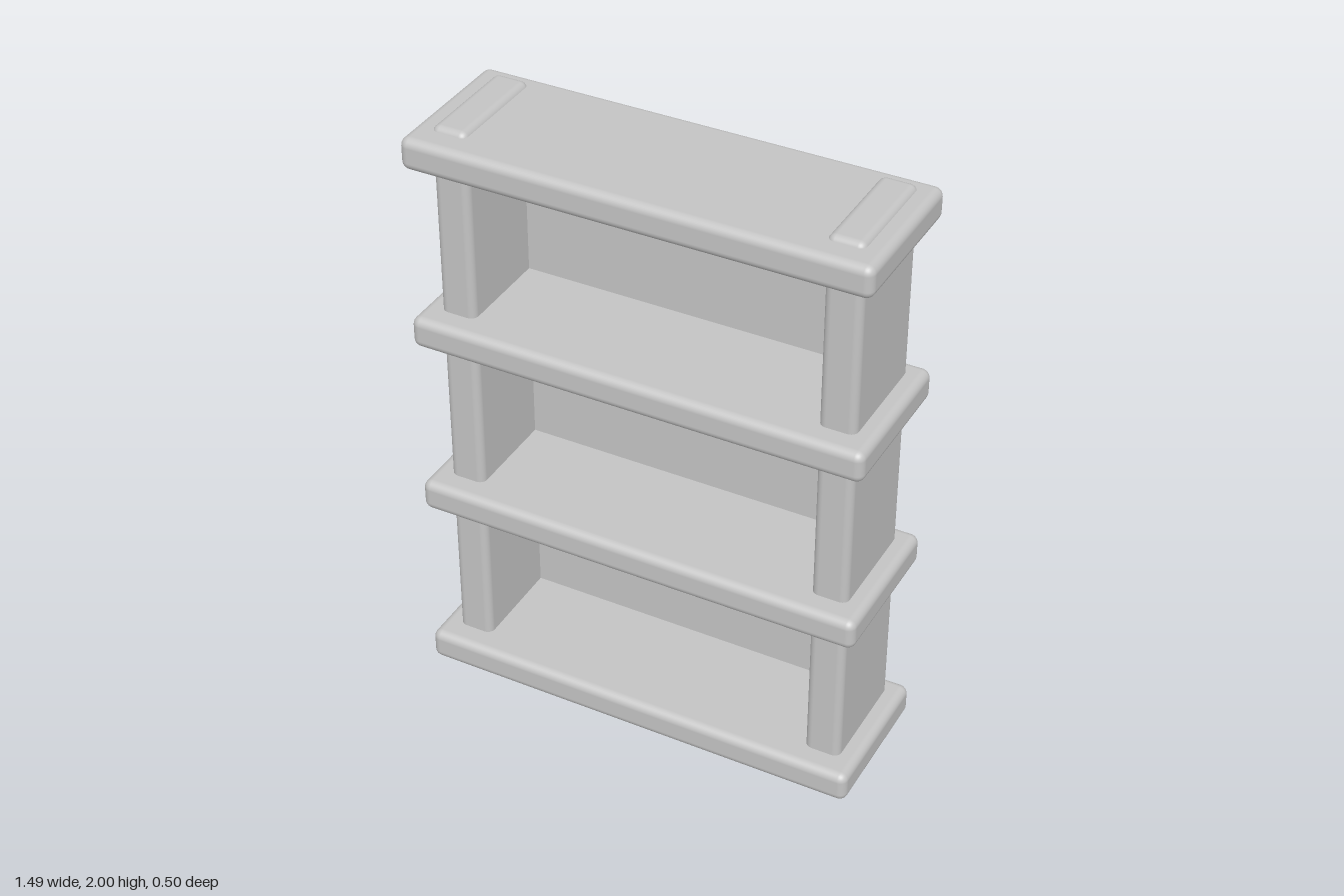
import * as THREE from 'three';
import { RoundedBoxGeometry } from 'three/addons/geometries/RoundedBoxGeometry.js';

export function createModel() {
  const group = new THREE.Group();
  group.name = 'bookshelf';
  const grey = new THREE.MeshStandardMaterial({ color: 0xc4c4c4 });
  grey.name = 'light grey';

  const add = (name, geometry, x, y, z) => {
    const mesh = new THREE.Mesh(geometry, grey);
    mesh.name = name;
    mesh.position.set(x, y, z);
    group.add(mesh);
  };

  // Four evenly spaced boards with rounded edges
  const boardShape = new RoundedBoxGeometry(1.49, 0.105, 0.495, 4, 0.028);
  for (let i = 0; i < 4; i++) add('shelf' + (i + 1), boardShape, 0, 0.077 + i * 0.6185, 0);

  // Side uprights run through every board and show slightly at both ends
  const sideShape = new RoundedBoxGeometry(0.118, 2, 0.37, 4, 0.025);
  add('leftSide', sideShape, 0.626, 1, -0.018);
  add('rightSide', sideShape, -0.626, 1, -0.018);

  // Thin back panel set between the uprights
  add('backPanel', new THREE.BoxGeometry(1.2, 1.86, 0.035), 0, 1, -0.175);

  return group;
}
